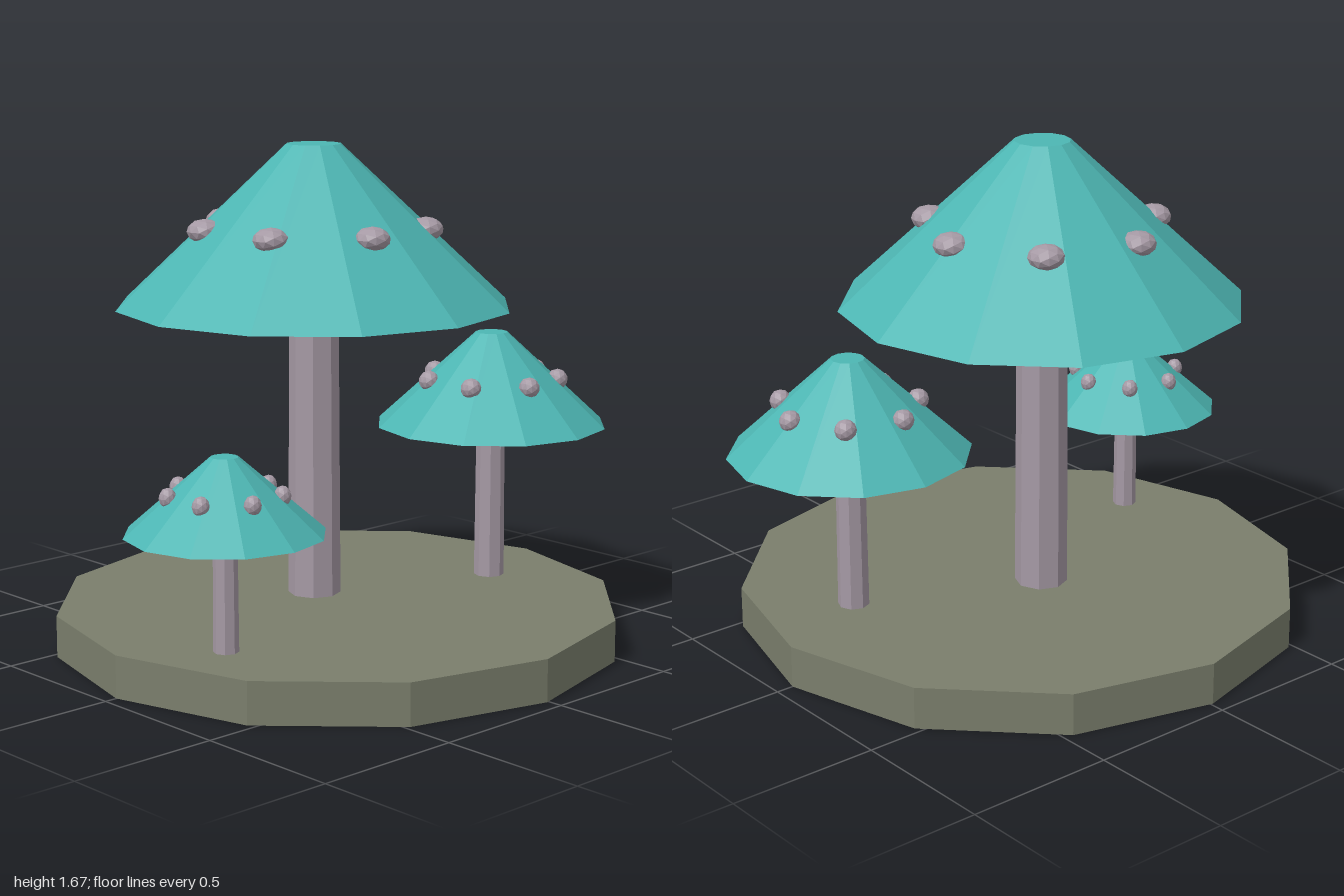
import * as THREE from 'three';

const flat = (name, color) => {
  const m = new THREE.MeshStandardMaterial({ color, flatShading: true });
  m.name = name;
  return m;
};

export function createModel() {
  const capTeal = flat('capTeal', 0x4db6b3);
  const stemMauve = flat('stemMauve', 0xa599a4);
  const groundOlive = flat('groundOlive', 0x7a7e6c);

  const model = new THREE.Group();
  model.name = 'mushroomCluster';

  const add = (parent, name, geometry, material, x, y, z) => {
    const mesh = new THREE.Mesh(geometry, material);
    mesh.name = name;
    mesh.position.set(x, y, z);
    parent.add(mesh);
    return mesh;
  };

  // Twelve-sided ground disc
  add(model, 'ground', new THREE.CylinderGeometry(0.95, 0.95, 0.14, 12), groundOlive, -0.008, 0.07, 0);

  // A mushroom: tapered stem, cone cap with a flat tip, ring of seven spots
  const mushroom = (m) => {
    const group = new THREE.Group();
    group.name = m.name;
    group.position.set(m.x, 0, m.z);
    model.add(group);

    const stemBottom = 0.002, stemTop = m.capY + 0.01;
    add(group, 'stem', new THREE.CylinderGeometry(m.stemR * 0.92, m.stemR, stemTop - stemBottom, 8),
      stemMauve, 0, (stemTop + stemBottom) / 2, 0);

    const capH = m.topY - m.capY;
    add(group, 'cap', new THREE.CylinderGeometry(m.tipR, m.capR, capH, 12), capTeal, 0, m.capY + capH / 2, 0);

    const spotGeometry = new THREE.IcosahedronGeometry(1, 1);
    spotGeometry.scale(m.spotW, m.spotH, m.spotW);
    for (let i = 0; i < 7; i++) {
      const a = (i / 7) * Math.PI * 2;
      add(group, 'spot', spotGeometry, stemMauve, Math.cos(a) * m.ringR, m.spotY, Math.sin(a) * m.ringR);
    }
  };

  mushroom({ name: 'tallMushroom', x: -0.008, z: -0.113, stemR: 0.09, capY: 1.13, topY: 1.667,
    capR: 0.667, tipR: 0.092, ringR: 0.373, spotY: 1.39, spotW: 0.06, spotH: 0.041 });
  mushroom({ name: 'middleMushroom', x: 0.594, z: 0.138, stemR: 0.053, capY: 0.68, topY: 1.0,
    capR: 0.4, tipR: 0.055, ringR: 0.228, spotY: 0.84, spotW: 0.036, spotH: 0.036 });
  mushroom({ name: 'smallMushroom', x: -0.68, z: 0.205, stemR: 0.042, capY: 0.52, topY: 0.764,
    capR: 0.32, tipR: 0.044, ringR: 0.181, spotY: 0.646, spotW: 0.028, spotH: 0.033 });

  return model;
}
